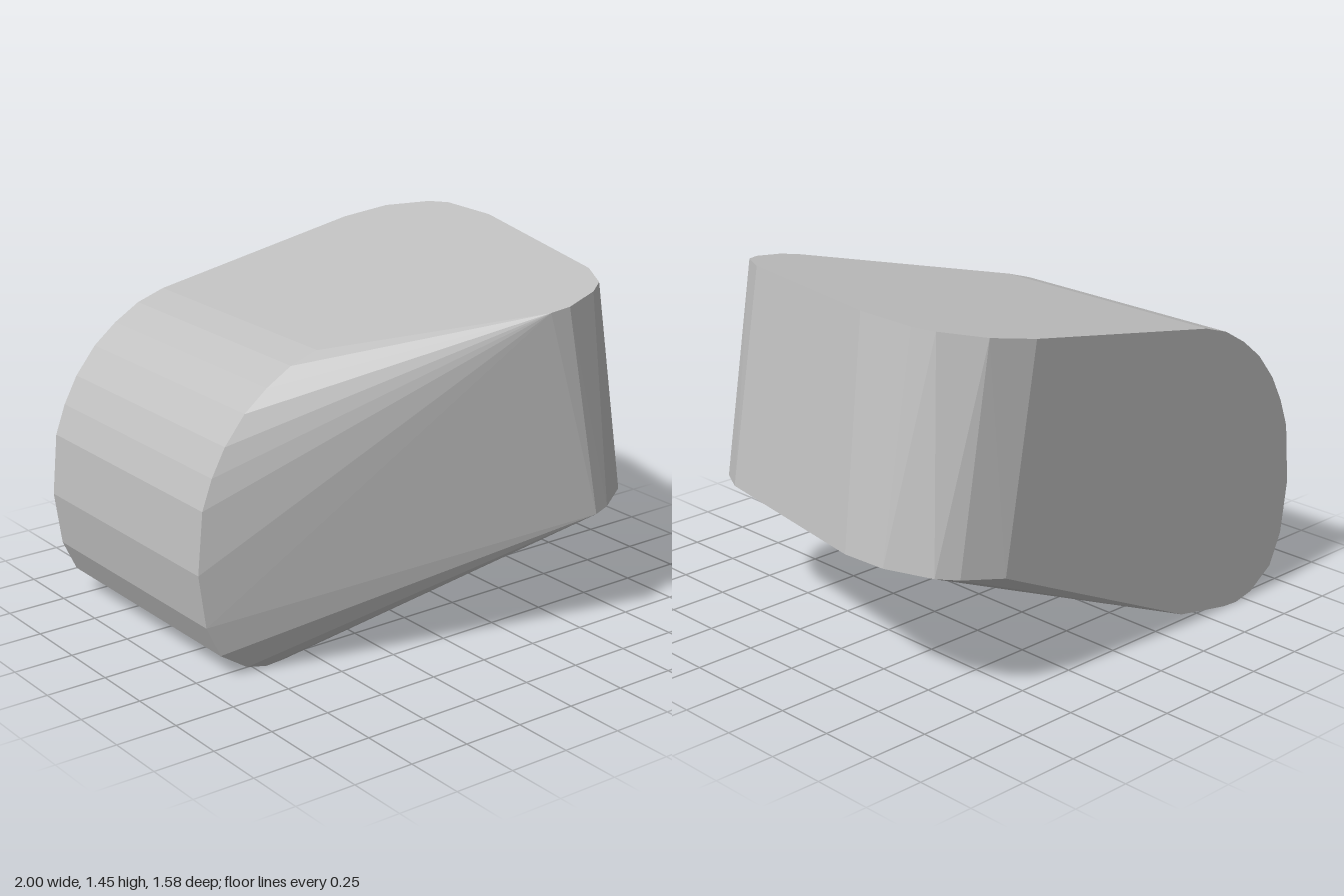
import * as THREE from 'three';
import { ConvexGeometry } from 'three/addons/geometries/ConvexGeometry.js';

// Rounded end: side profile (x, y), swept along z
const endProfile = [
  [-0.45, 1.224], [-0.57, 1.185], [-0.68, 1.12], [-0.78, 1.04], [-0.87, 0.93],
  [-0.93, 0.82], [-0.975, 0.70], [-1, 0.45], [-0.97, 0.23], [-0.91, 0.10],
  [-0.79, 0.02], [-0.70, 0], [-0.62, 0.005], [-0.36, 0.052],
];
const endDepth = [-0.79, 0.285];

// Slanted end: rim outlines (x, z) lying on two parallel sloping planes
const upperRim = [
  [0.48, -0.79], [0.665, -0.74], [0.80, -0.61], [0.835, -0.52], [0.835, -0.25],
  [0.66, 0.56], [0.585, 0.70], [0.51, 0.75], [0.36, 0.785], [0.28, 0.77],
];
const lowerRim = [
  [0.63, -0.79], [0.81, -0.74], [0.89, -0.69], [0.985, -0.52], [1, -0.33],
  [0.81, 0.56], [0.73, 0.70], [0.60, 0.775], [0.53, 0.79],
];
const slope = 0.175;

export function createModel() {
  const points = [];
  for (const z of endDepth) {
    for (const [x, y] of endProfile) points.push(new THREE.Vector3(x, y, z));
  }
  const addRim = (rim, height) => {
    for (const [x, z] of rim) points.push(new THREE.Vector3(x, height + slope * x, z));
  };
  addRim(upperRim, 1.303);
  addRim(lowerRim, 0.4);

  // One faceted convex shell joins both ends
  const grey = new THREE.MeshStandardMaterial({ color: 0xc0c0c0 });
  grey.name = 'light grey';
  grey.flatShading = true;
  const body = new THREE.Mesh(new ConvexGeometry(points), grey);
  body.name = 'convexBody';

  const group = new THREE.Group();
  group.name = 'facetedBlock';
  group.add(body);
  return group;
}
